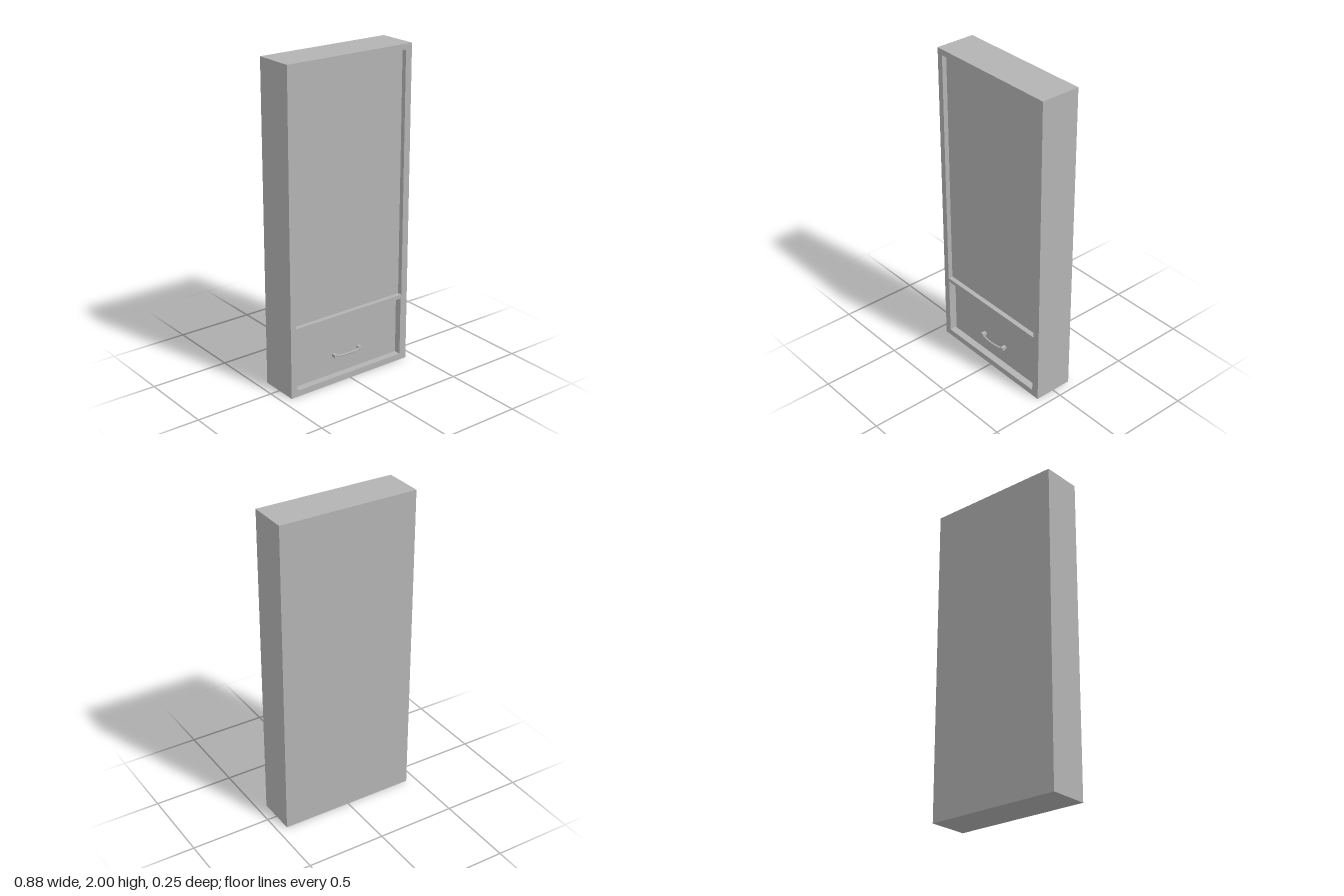
import * as THREE from 'three';

const W = 0.876, H = 2, FRONT = 0.126, SPLIT = 0.04;

export function createModel() {
  const root = new THREE.Group();
  root.name = 'cabinet';
  const grey = new THREE.MeshStandardMaterial({ color: 0xb3b3b3 });
  grey.name = 'grey';

  const add = (name, geometry, parent = root) => {
    const mesh = new THREE.Mesh(geometry, grey);
    mesh.name = name;
    parent.add(mesh);
    return mesh;
  };
  // Box given by its limits on each axis
  const box = (name, x0, x1, y0, y1, z0, z1, parent) => {
    const mesh = add(name, new THREE.BoxGeometry(x1 - x0, y1 - y0, z1 - z0), parent);
    mesh.position.set((x0 + x1) / 2, (y0 + y1) / 2, (z0 + z1) / 2);
    return mesh;
  };
  const rect = (path, x0, x1, y0, y1) => {
    path.moveTo(x0, y0);
    path.lineTo(x1, y0);
    path.lineTo(x1, y1);
    path.lineTo(x0, y1);
    path.closePath();
    return path;
  };

  // Outer case: solid back and a front frame with two openings
  box('carcass', -W / 2, W / 2, 0, H, -FRONT, SPLIT);
  const outline = rect(new THREE.Shape(), -W / 2, W / 2, 0, H);
  outline.holes.push(
    rect(new THREE.Path(), -0.4, 0.394, 0.44, 1.965),
    rect(new THREE.Path(), -0.396, 0.389, 0.04, 0.416)
  );
  const frame = add('frontFrame', new THREE.ExtrudeGeometry(outline, { depth: FRONT - SPLIT, bevelEnabled: false }));
  frame.position.z = SPLIT;

  // Recessed door panel, and drawer front with a thin gap at left and top
  box('doorPanel', -0.4, 0.394, 0.44, 1.965, SPLIT, 0.096);
  const drawer = new THREE.Group();
  drawer.name = 'drawer';
  root.add(drawer);
  const DRAWER = 0.082;
  box('drawerFront', -0.389, 0.389, 0.04, 0.409, SPLIT, DRAWER, drawer);

  // Bowed handle on two square mounts
  const handle = new THREE.Group();
  handle.name = 'handle';
  handle.position.set(-0.003, 0.165, 0);
  drawer.add(handle);
  for (const side of [-1, 1]) {
    const x = side * 0.093;
    box('handleMount', x - 0.01, x + 0.01, -0.01, 0.01, DRAWER, 0.112, handle);
  }
  const bow = new THREE.CatmullRomCurve3(
    [[-0.093, 0.106], [-0.05, 0.116], [0, 0.119], [0.05, 0.116], [0.093, 0.106]]
      .map(([x, z]) => new THREE.Vector3(x, 0, z))
  );
  add('handleBar', new THREE.TubeGeometry(bow, 20, 0.006, 10), handle);

  return root;
}
